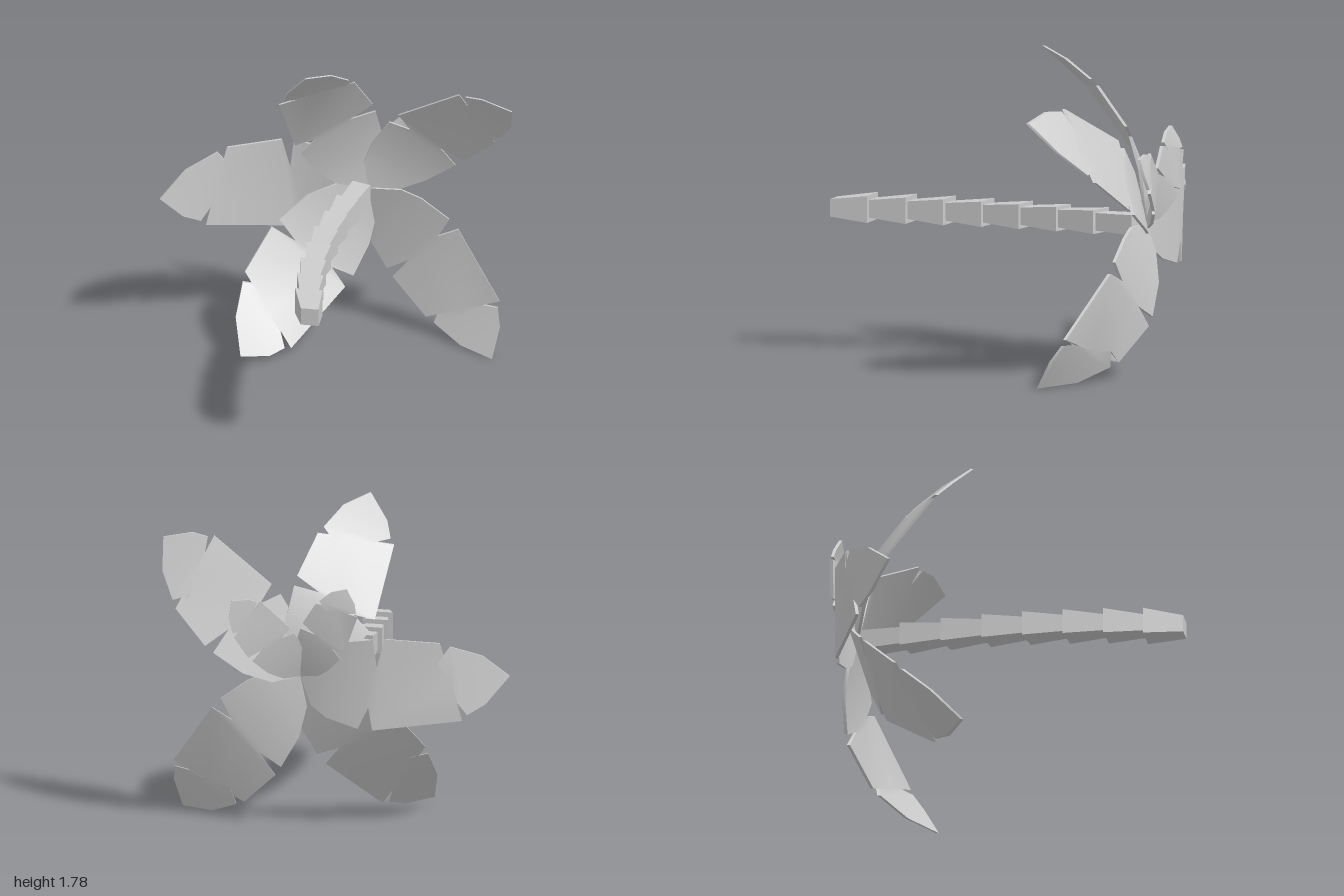
import * as THREE from 'three';
import { toCreasedNormals } from 'three/addons/utils/BufferGeometryUtils.js';

const material = new THREE.MeshStandardMaterial({ color: 0xcccccc });
const crown = new THREE.Vector3(0.2, 0.85, -0.82);
const THICK = 0.009;

// Leaf edges from base to tip, two notches each: [share of the length, half width]
const rightEdge = [[0, 0], [0.1, 0.13], [0.25, 0.2], [0.44, 0.23], [0.46, 0.06], [0.495, 0.235],
  [0.73, 0.21], [0.72, 0.1], [0.77, 0.19], [0.9, 0.125], [1, 0]];
const leftEdge = [[0, 0], [0.1, -0.15], [0.2, -0.21], [0.37, -0.26], [0.42, -0.14], [0.44, -0.265],
  [0.82, -0.22], [0.8, -0.12], [0.84, -0.19], [0.91, -0.14], [1, 0]];

// lift sends a leaf backwards at its base, curl to the power bends it forwards again,
// tilt leans it sideways, warp shifts its notches towards the base
const fronds = [
  { name: 'sideFrond', tip: [-0.98, 0.84], lift: 0.62, curl: 0.56, power: 2, warp: 1.3, width: 1.05 },
  { name: 'lowerRightFrond', tip: [-0.56, 0.06], curl: 0.4, power: 2.7, tilt: -0.4 },
  { name: 'upperRightFrond', tip: [-0.2, 1.79], curl: 0.58, power: 2.5 },
  { name: 'upperLeftFrond', tip: [0.97, 1.54], curl: 0.54, power: 2.5, tilt: -0.25 },
  { name: 'lowerLeftFrond', tip: [0.86, 0.01], curl: 0.44, power: 3, tilt: -0.4 },
  { name: 'smallLeftFrond', tip: [0.59, 1.28], lift: 0.52, curl: 0.88, power: 2, width: 0.58 },
  { name: 'smallUprightFrond', tip: [-0.06, 1.37], lift: 0.6, curl: 0.68, power: 2, tilt: 0.4, width: 0.55 },
];

// A notched leaf slab: strips from the midrib to each edge, front and back, closed by a rim
function frond({ name, tip, curl, power, lift = 0, tilt = 0, width = 1, warp = 1 }) {
  const axis = new THREE.Vector2(tip[0] - crown.x, tip[1] - crown.y);
  const length = axis.length();
  axis.normalize();
  const bent = (share, across) => {
    const along = length * share ** warp;
    return new THREE.Vector3(
      crown.x + axis.x * along + axis.y * across,
      crown.y + axis.y * along - axis.x * across,
      crown.z - lift * along + curl * along ** power + tilt * across);
  };

  const positions = [];
  const add = (p, offset) => positions.push(p.x, p.y, p.z + offset);
  const tri = (a, b, c) => {
    [a, b, c].forEach(p => add(p, THICK));
    [c, b, a].forEach(p => add(p, -THICK));
  };
  // Both halves share one midrib
  let reach = 0;
  const ribs = rightEdge.map(([share], i) => {
    reach = Math.max(reach, (share + leftEdge[i][0]) / 2);
    return bent(reach, 0);
  });
  for (const edge of [rightEdge, leftEdge]) {
    const rows = edge.map(([share, half], i) => ({ rib: ribs[i], rim: bent(share, half * width) }));
    for (let i = 0; i < rows.length - 1; i++) {
      // The left edge runs the other way round, so its rows swap
      const [p, q] = edge === leftEdge ? [rows[i + 1], rows[i]] : [rows[i], rows[i + 1]];
      tri(p.rib, p.rim, q.rim);
      tri(p.rib, q.rim, q.rib);
      add(p.rim, -THICK); add(q.rim, -THICK); add(q.rim, THICK);
      add(p.rim, -THICK); add(q.rim, THICK); add(p.rim, THICK);
    }
  }
  const geometry = new THREE.BufferGeometry();
  geometry.setAttribute('position', new THREE.Float32BufferAttribute(positions, 3));
  const mesh = new THREE.Mesh(toCreasedNormals(geometry, 0.6), material);
  mesh.name = name;
  return mesh;
}

// Trunk of stacked square segments along a gentle curve, each flaring towards the crown
function trunk() {
  const group = new THREE.Group();
  group.name = 'trunk';
  const count = 8;
  const slant = new THREE.Matrix4().set(1, 0, 0, 0, 0, 1, 0, 0, 0.24, 0, 1, 0, 0, 0, 0, 1);
  const pathPoint = t => new THREE.Vector3(-0.265 + 0.045 * t + 0.38 * t * t, 0.84, 0.99 - 1.77 * t);
  for (let i = 0; i < count; i++) {
    const start = pathPoint(i / count), end = pathPoint((i + 1) / count);
    const flare = i === count - 1 ? 0.058 : 0.077 - i * 0.0015;
    const geometry = new THREE.CylinderGeometry(flare * Math.SQRT2, 0.05 * Math.SQRT2, start.distanceTo(end), 4);
    // The joints slant across the trunk
    geometry.rotateY(Math.PI / 4).rotateX(Math.PI / 2).applyMatrix4(slant);
    const segment = new THREE.Mesh(toCreasedNormals(geometry, 0.5), material);
    segment.name = 'trunkSegment';
    segment.position.lerpVectors(start, end, 0.5);
    segment.lookAt(end);
    group.add(segment);
  }
  return group;
}

export function createModel() {
  const model = new THREE.Group();
  model.name = 'palmTree';
  const leaves = new THREE.Group();
  leaves.name = 'fronds';
  fronds.forEach(f => leaves.add(frond(f)));
  model.add(trunk(), leaves);
  return model;
}
